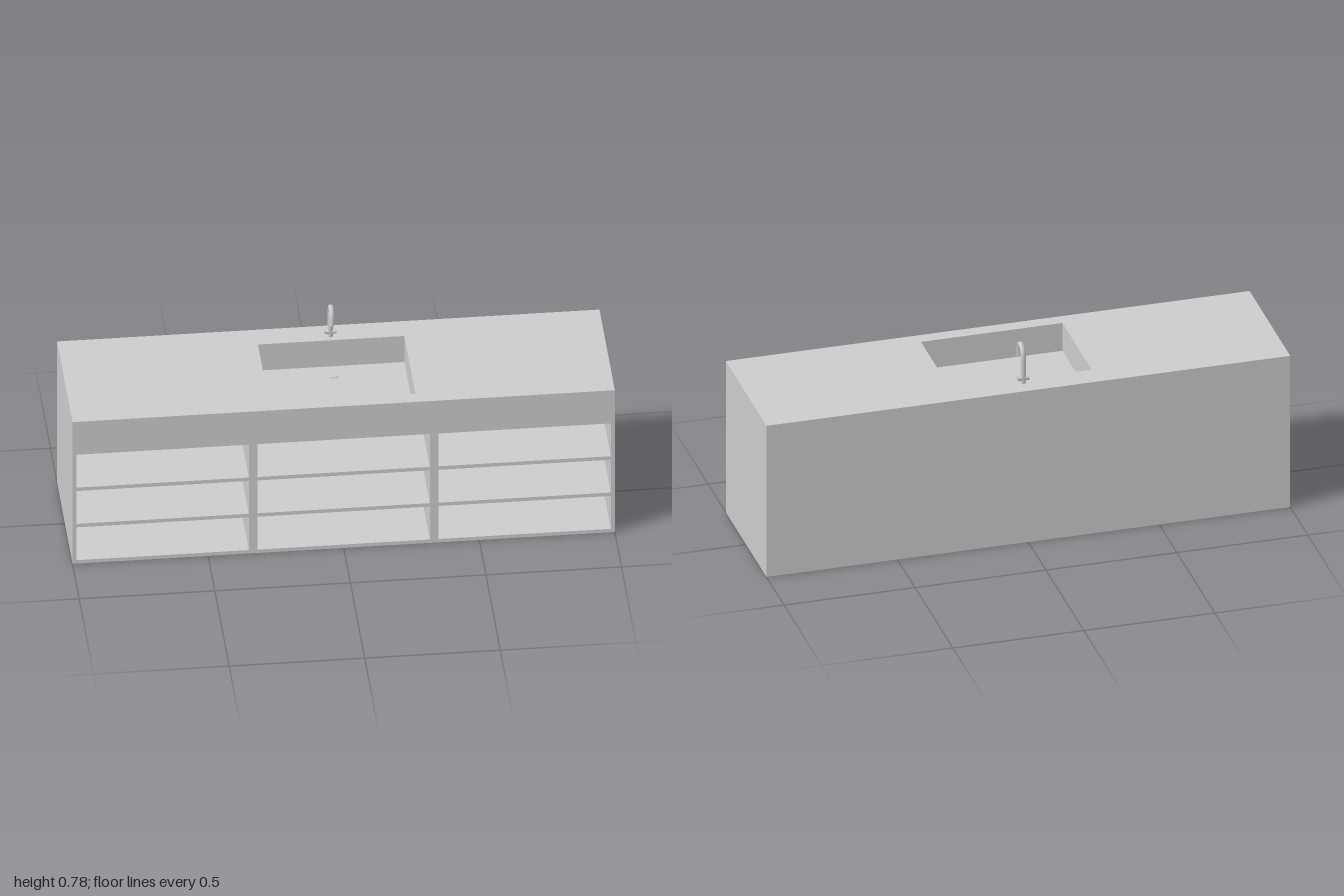
import * as THREE from 'three';

const W = 2, D = 0.536, H = 0.625;
const SPLIT = 0.495;  // where the drawer carcass meets the counter
const BACK = 0.015;   // back panel thickness

function rect(Type, x0, y0, x1, y1) {
  const p = new Type();
  p.moveTo(x0, y0);
  p.lineTo(x1, y0);
  p.lineTo(x1, y1);
  p.lineTo(x0, y1);
  p.closePath();
  return p;
}

// Round tube through straight segments, tapering from r0 to r1
class Polyline extends THREE.Curve {
  constructor(points) { super(); this.points = points; }
  getPoint(t) {
    const n = this.points.length - 1;
    const i = Math.min(Math.floor(t * n), n - 1);
    return this.points[i].clone().lerp(this.points[i + 1], t * n - i);
  }
  getPointAt(t) { return this.getPoint(t); }
  getTangentAt(t) { return this.getTangent(t); }
}

function taperedTube(points, r0, r1, sides) {
  const curve = new Polyline(points), n = points.length - 1;
  const geo = new THREE.TubeGeometry(curve, n, 1, sides, false);
  const pos = geo.attributes.position, v = new THREE.Vector3();
  for (let i = 0; i < pos.count; i++) {
    const ring = Math.floor(i / (sides + 1));
    const r = THREE.MathUtils.lerp(r0, r1, ring / n);
    v.fromBufferAttribute(pos, i).sub(points[ring]).multiplyScalar(r).add(points[ring]);
    pos.setXYZ(i, v.x, v.y, v.z);
  }
  geo.computeVertexNormals();
  return geo;
}

export function createModel() {
  const model = new THREE.Group();
  model.name = 'washstand';
  const grey = new THREE.MeshStandardMaterial({ color: 0xcccccc });
  const metal = new THREE.MeshStandardMaterial({ color: 0xcccccc, side: THREE.DoubleSide });

  const add = (name, geo, parent = model, mat = grey) => {
    const mesh = new THREE.Mesh(geo, mat);
    mesh.name = name;
    parent.add(mesh);
    return mesh;
  };

  // Shelf carcass: 3 x 3 open compartments
  const front = rect(THREE.Shape, -W / 2, 0, W / 2, SPLIT);
  for (const x of [-0.6675, 0, 0.6675]) {
    for (const y of [0.015, 0.175, 0.335]) {
      front.holes.push(rect(THREE.Path, x - 0.3175, y, x + 0.3175, y + 0.145));
    }
  }
  add('shelfCarcass', new THREE.ExtrudeGeometry(front, { depth: D - BACK, bevelEnabled: false }))
    .position.z = -D / 2 + BACK;
  add('backPanel', new THREE.BoxGeometry(W, SPLIT, BACK))
    .position.set(0, SPLIT / 2, -D / 2 + BACK / 2);

  // Counter with the basin cut out (shape y becomes -z)
  const top = rect(THREE.Shape, -W / 2, -D / 2, W / 2, D / 2);
  top.holes.push(rect(THREE.Path, -0.27, -0.215, 0.27, 0.17));
  const counter = add('counter',
    new THREE.ExtrudeGeometry(top, { depth: H - SPLIT, bevelEnabled: false }));
  counter.rotation.x = -Math.PI / 2;
  counter.position.y = SPLIT;

  // Basin floor and drain
  add('basinFloor', new THREE.BoxGeometry(0.54, 0.015, 0.385))
    .position.set(0, SPLIT + 0.0075, 0.0225);
  add('drain', new THREE.CylinderGeometry(0.025, 0.025, 0.004, 16))
    .position.set(0, 0.511, -0.115);

  // Faucet
  const faucet = new THREE.Group();
  faucet.name = 'faucet';
  model.add(faucet);
  const path = [
    [0.62, -0.2], [0.735, -0.2], [0.759, -0.191], [0.77, -0.171],
    [0.763, -0.154], [0.744, -0.143], [0.709, -0.14],
  ].map(([y, z]) => new THREE.Vector3(0, y, z));
  add('spout', taperedTube(path, 0.0105, 0.0085, 12), faucet, metal);
  const tip = add('spoutTip', new THREE.CircleGeometry(0.0085, 12), faucet, metal);
  tip.rotation.x = Math.PI / 2;
  tip.position.set(0, 0.71, -0.14);
  const handle = add('handle', new THREE.CylinderGeometry(0.01, 0.01, 0.044, 12), faucet);
  handle.rotation.z = Math.PI / 2;
  handle.position.set(0, 0.645, -0.2);

  return model;
}
